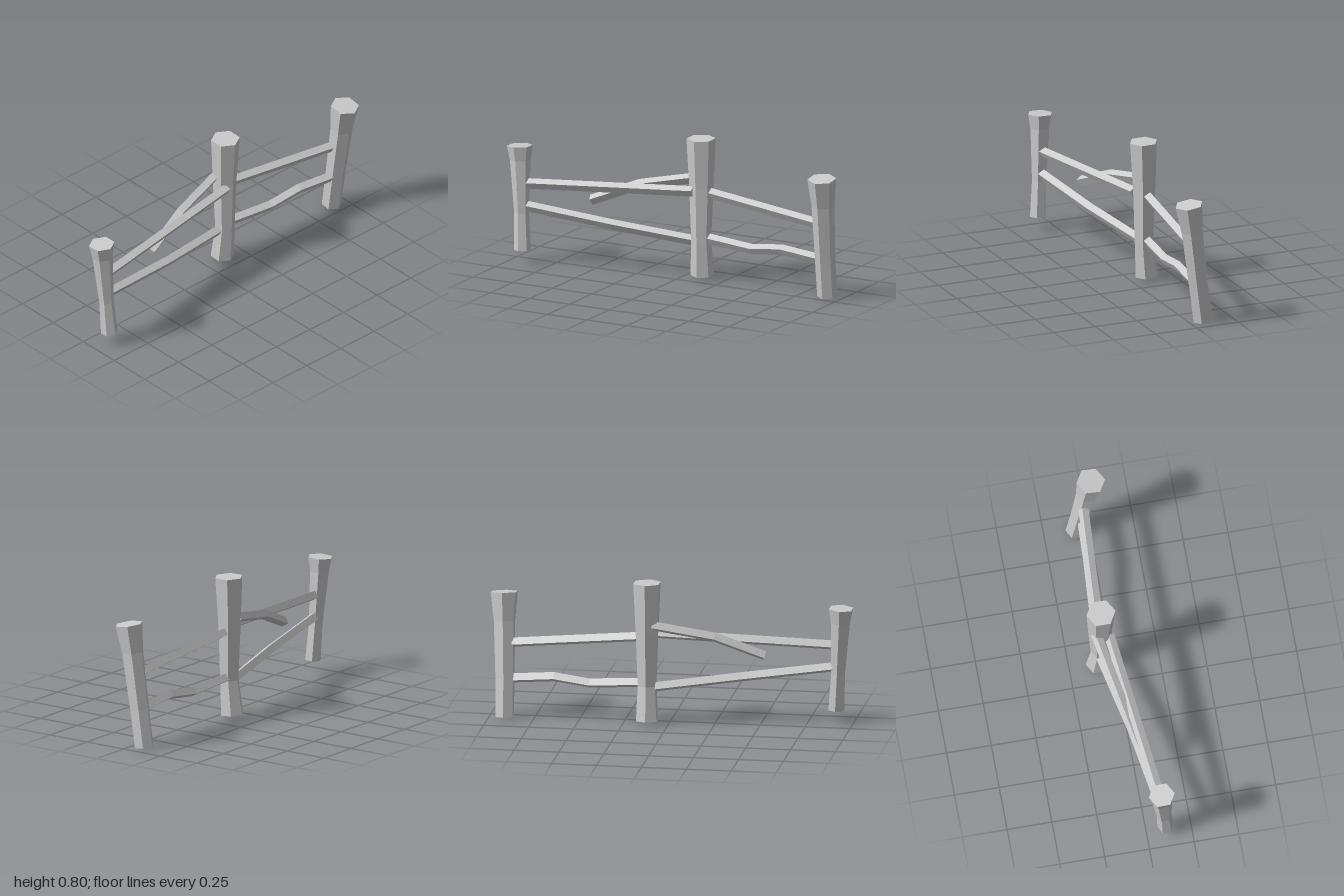
import * as THREE from 'three';

const material = new THREE.MeshStandardMaterial({ color: 0xcccccc, flatShading: true, side: THREE.DoubleSide });
const Y = new THREE.Vector3(0, 1, 0);
const Z = new THREE.Vector3(0, 0, 1);

// Sweep a polygon along rings of [x, y, z, radius]; each ring is square to the path.
function loft(name, rings, sides, turn, axis, capStart) {
  const centres = rings.map(([x, y, z]) => new THREE.Vector3(x, y, z));
  const last = rings.length - 1;
  const loops = rings.map(([, , , r], i) => {
    const along = centres[Math.min(i + 1, last)].clone().sub(centres[Math.max(i - 1, 0)]).normalize();
    const q = new THREE.Quaternion().setFromUnitVectors(axis, along);
    return Array.from({ length: sides }, (_, k) => {
      const a = turn + (k / sides) * Math.PI * 2;
      const c = r * Math.cos(a), s = r * Math.sin(a);
      const p = axis === Y ? new THREE.Vector3(c, 0, -s) : new THREE.Vector3(c, s, 0);
      return p.applyQuaternion(q).add(centres[i]);
    });
  });

  const corners = [];
  for (let k = 0; k < sides; k++) {
    const n = (k + 1) % sides;
    for (let i = 0; i < last; i++) {
      const [a, b, c, d] = [loops[i][k], loops[i][n], loops[i + 1][n], loops[i + 1][k]];
      corners.push(a, b, c, a, c, d);
    }
    corners.push(centres[last], loops[last][k], loops[last][n]);
    if (capStart) corners.push(centres[0], loops[0][n], loops[0][k]);
  }
  const geometry = new THREE.BufferGeometry().setFromPoints(corners);
  geometry.computeVertexNormals();
  const mesh = new THREE.Mesh(geometry, material);
  mesh.name = name;
  return mesh;
}

// Six-sided post, open underneath, listed from foot to top
const post = (name, rings) => loft(name, rings, 6, 0, Y, false);

// Four-sided rail, tilted about its length, listed from back to front
const rail = (name, points) =>
  loft(name, points.map((p) => [...p, 0.029]), 4, Math.PI / 12, Z, true);

export function createModel() {
  const fence = new THREE.Group();
  fence.name = 'fence';

  // Leaning posts with a waist and a flared top
  fence.add(
    post('frontPost', [
      [0.108, 0.078, 0.907, 0.047], [0.097, 0.285, 0.918, 0.041],
      [0.083, 0.58, 0.934, 0.057], [0.08, 0.662, 0.938, 0.072],
    ]),
    post('middlePost', [
      [-0.092, 0.024, -0.115, 0.066], [-0.074, 0.22, -0.118, 0.055],
      [-0.076, 0.53, -0.118, 0.067], [-0.071, 0.803, -0.119, 0.081],
    ]),
    post('backPost', [
      [-0.075, 0.009, -0.911, 0.055], [-0.047, 0.22, -0.914, 0.056],
      [-0.006, 0.54, -0.923, 0.063], [0.016, 0.697, -0.928, 0.08],
    ]),
  );

  // Rails between the front and middle posts
  fence.add(
    rail('frontUpperRail', [[-0.03, 0.507, -0.09], [0.084, 0.452, 0.89]]),
    rail('frontLowerRail', [[-0.08, 0.213, -0.09], [0.018, 0.268, 0.4], [0.09, 0.325, 0.89]]),
  );

  // Broken rail hanging from the middle post
  fence.add(rail('brokenRail', [[-0.105, 0.57, -0.09], [-0.038, 0.502, 0.25], [0.022, 0.392, 0.52]]));

  // Rails between the back and middle posts
  fence.add(
    rail('backUpperRail', [[-0.035, 0.424, -0.875], [-0.08, 0.5, -0.14]]),
    rail('backLowerRail', [
      [-0.04, 0.222, -0.875], [-0.05, 0.242, -0.64], [-0.062, 0.217, -0.44], [-0.08, 0.238, -0.14],
    ]),
  );
  return fence;
}
